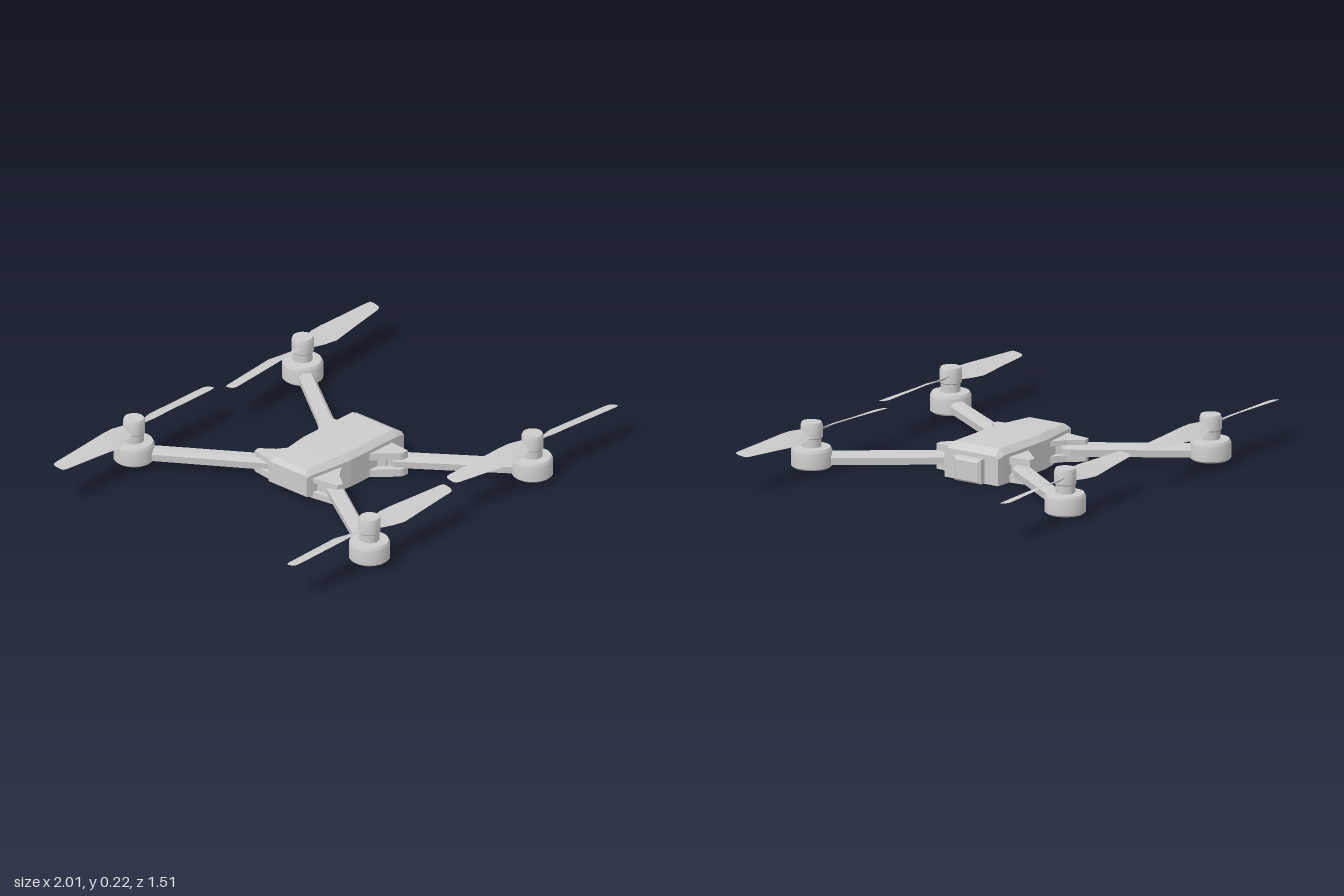
import * as THREE from 'three';
import { toCreasedNormals } from 'three/addons/utils/BufferGeometryUtils.js';

const material = new THREE.MeshStandardMaterial({ color: 0xcccccc });

function mesh(name, geometry, parent) {
  const m = new THREE.Mesh(geometry, material);
  m.name = name;
  parent.add(m);
  return m;
}

// Closed solid through [x, outline] sections; outlines list [y, z] from the top towards +z.
function loft(sections) {
  const pos = [];
  const rings = sections.map(([x, pts]) => pts.map(([y, z]) => [x, y, z]));
  const tri = (a, b, c) => pos.push(...a, ...b, ...c);
  const n = rings[0].length;
  for (let s = 0; s < rings.length - 1; s++) {
    for (let i = 0; i < n; i++) {
      const j = (i + 1) % n;
      const [a, b, c, d] = [rings[s][i], rings[s][j], rings[s + 1][j], rings[s + 1][i]];
      tri(a, b, c);
      tri(a, c, d);
    }
  }
  const last = rings[rings.length - 1];
  for (let i = 1; i < n - 1; i++) {
    tri(rings[0][0], rings[0][i + 1], rings[0][i]);
    tri(last[0], last[i], last[i + 1]);
  }
  const g = new THREE.BufferGeometry();
  g.setAttribute('position', new THREE.Float32BufferAttribute(pos, 3));
  g.computeVertexNormals();
  return g;
}

// Six-sided outline with sloped shoulders
const hexOutline = (top, wTop, shoulder, w, bottom, wBottom = w) => [
  [top, -wTop], [top, wTop], [shoulder, w], [bottom, wBottom], [bottom, -wBottom], [shoulder, -w],
];

function turned(points) {
  const g = new THREE.LatheGeometry(points.map(([r, y]) => new THREE.Vector2(r, y)), 32);
  return toCreasedNormals(g, 0.5);
}

// Horizontal slab from [x, z] corners between two heights
function slab(corners, y0, y1) {
  const shape = new THREE.Shape(corners.map(([x, z]) => new THREE.Vector2(x, z)));
  return new THREE.ExtrudeGeometry(shape, { depth: y1 - y0, bevelEnabled: false })
    .rotateX(Math.PI / 2).translate(0, y1, 0);
}

function bladeGeometry() {
  // r, high straight edge z, low bulged edge z, half pitch height, half thickness
  const stations = [
    [0.0, 0.022, -0.022, 0.010, 0.006],
    [0.05, 0.030, -0.024, 0.016, 0.005],
    [0.10, 0.042, -0.036, 0.019, 0.004],
    [0.16, 0.045, -0.048, 0.019, 0.004],
    [0.30, 0.049, -0.028, 0.013, 0.003],
    [0.46, 0.054, -0.006, 0.007, 0.002],
    [0.478, 0.052, 0.000, 0.006, 0.002],
    [0.485, 0.042, 0.012, 0.003, 0.001],
  ];
  const g = loft(stations.map(([r, zs, zb, h, t]) => {
    const mid = (zs + zb) / 2;
    return [r, [[t, mid], [h, zs], [-t, mid], [-h, zb]]];
  }));
  return toCreasedNormals(g, 0.6);
}

function rotor(side) {
  const g = new THREE.Group();
  g.name = 'rotor';
  mesh('motor', turned([[0, 0], [0.078, 0], [0.087, 0.008], [0.087, 0.075], [0.08, 0.088],
    [0.045, 0.09], [0, 0.09]]), g);
  mesh('propellerHub', turned([[0.042, 0.085], [0.042, 0.125], [0.047, 0.13], [0.047, 0.182],
    [0.042, 0.195], [0, 0.195]]), g);
  const propeller = new THREE.Group();
  propeller.name = 'propeller';
  propeller.position.y = 0.15;
  propeller.scale.x = side;
  propeller.rotation.y = side < 0 ? -0.07 : 0;
  const blade = bladeGeometry();
  mesh('propellerBlade', blade, propeller);
  mesh('propellerBlade', blade, propeller).rotation.y = Math.PI;
  g.add(propeller);
  return g;
}

function arm(x0, z0, x1, z1, y) {
  const length = Math.hypot(x1 - x0, z1 - z0);
  const section = (s) => hexOutline(0.025, 0.02 * s, 0.006, 0.036 * s, -0.025, 0.033 * s);
  const g = loft([[-0.02, section(0.5)], [0.02, section(1)], [length, section(0.9)]]);
  return g.rotateY(Math.atan2(z0 - z1, x1 - x0)).translate(x0, y, z0);
}

// Arms, clamps and rotors on one long side of the body
function armPair() {
  const g = new THREE.Group();
  g.name = 'armPair';
  const ends = [
    { side: -1, lift: 0.01, from: [-0.19, 0.16], to: [-0.52, 0.667],
      clamp: [[-0.265, 0.1], [-0.245, 0.235], [-0.215, 0.24], [-0.17, 0.18], [-0.10, 0.13]],
      core: [[-0.24, 0.1], [-0.235, 0.17], [-0.19, 0.17], [-0.13, 0.1]] },
    { side: 1, lift: 0, from: [0.165, 0.17], to: [0.515, 0.651],
      clamp: [[0.05, 0.13], [0.15, 0.235], [0.165, 0.24], [0.19, 0.24], [0.2, 0.13]],
      core: [[0.08, 0.1], [0.13, 0.17], [0.18, 0.17], [0.19, 0.1]] },
  ];
  for (const { side, lift, from, to, clamp, core } of ends) {
    mesh('arm', arm(...from, ...to, 0.056 + lift * 0.8), g);
    mesh('upperClamp', slab(clamp, 0.078 + lift, 0.11), g);
    mesh('lowerClamp', slab(clamp, lift * 1.5, 0.034 + lift), g);
    mesh('clampCore', slab(core, 0.02, 0.1), g);
    const r = rotor(side);
    r.position.set(to[0], 0.017 + lift, to[1]);
    g.add(r);
  }
  return g;
}

export function createModel() {
  const model = new THREE.Group();
  model.name = 'quadcopter';

  // Body shell, tapering towards -x
  mesh('body', loft([
    [-0.297, hexOutline(0.128, 0.1, 0.118, 0.108, 0.032)],
    [-0.275, hexOutline(0.145, 0.09, 0.125, 0.112, 0.026)],
    [-0.13, hexOutline(0.15, 0.108, 0.125, 0.132, 0.003)],
    [-0.06, hexOutline(0.15, 0.117, 0.125, 0.141, 0)],
    [0.235, hexOutline(0.15, 0.115, 0.125, 0.141, 0)],
    [0.277, hexOutline(0.127, 0.125, 0.115, 0.138, 0)],
  ]), model);

  // Camera housing on the +x end
  const housing = (w, y0, y1) => [[y1, -w], [y1, w], [y0, w], [y0, -w]];
  mesh('cameraHousing', loft([
    [0.25, housing(0.068, 0.002, 0.108)],
    [0.302, housing(0.068, 0.002, 0.108)],
    [0.314, housing(0.055, 0.012, 0.096)],
  ]), model);

  // Same arms on both sides
  for (const sz of [1, -1]) {
    const pair = armPair();
    pair.scale.z = sz;
    model.add(pair);
  }
  return model;
}
